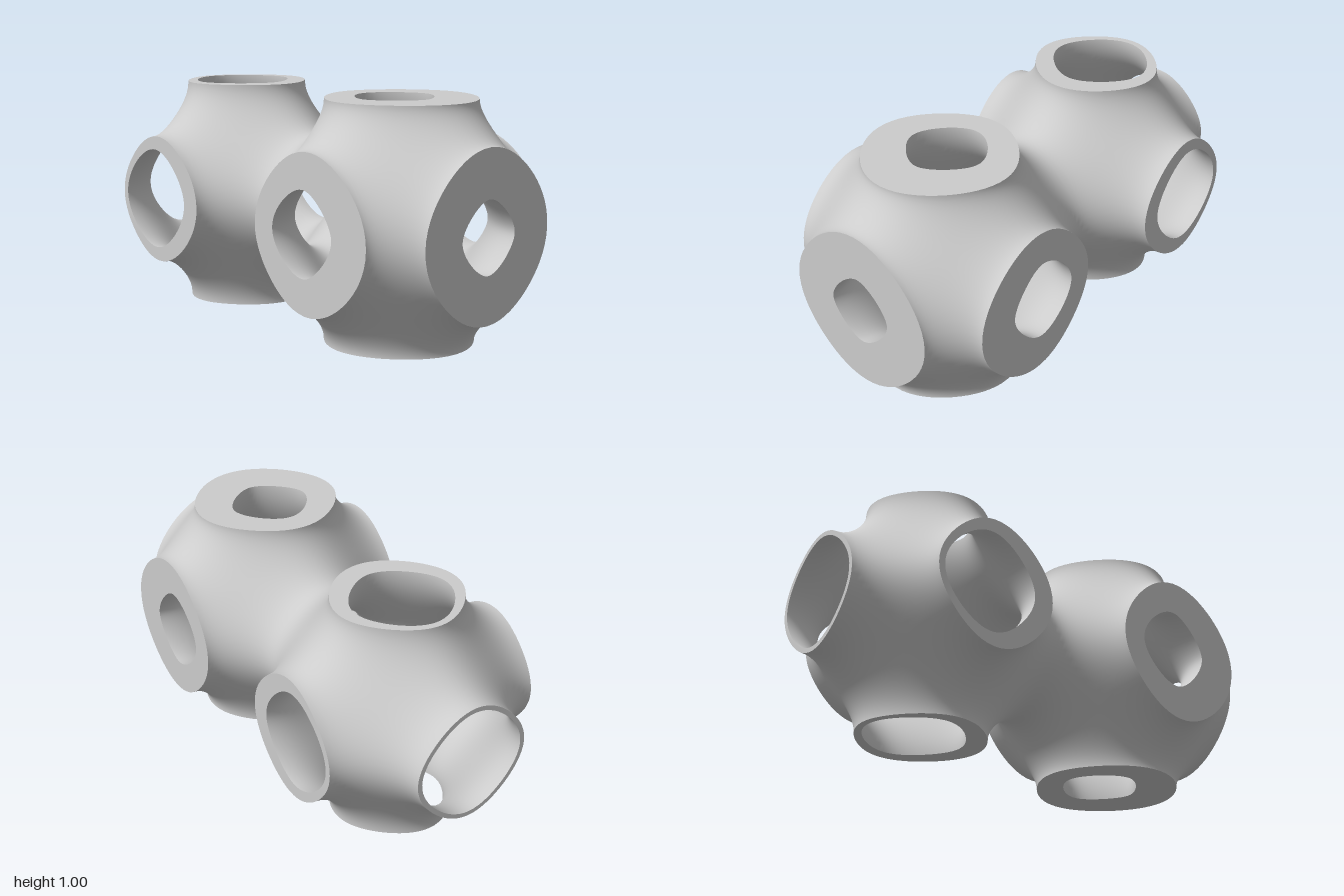
import * as THREE from 'three';
import { mergeGeometries } from 'three/addons/utils/BufferGeometryUtils.js';

const AROUND = 64; // steps round each opening (multiple of 8, so cube corners are hit)
const ACROSS = 14; // steps from an opening to the cube edge
const TAU = Math.PI * 2;

// Periodic minimal surface field round a cell centre, positive inside
const field = (p) => Math.cos(TAU * p.x) + Math.cos(TAU * p.y) + Math.cos(TAU * p.z);

// Unit normal of the middle surface, pointing away from the cell centre
const midNormal = (p) => new THREE.Vector3(
  Math.sin(TAU * p.x), Math.sin(TAU * p.y), Math.sin(TAU * p.z)).normalize();

// Half thickness and its slope along x, easing from one end of a cell to the other
function wall(x, [start, end]) {
  const t = x + 0.5;
  return {
    half: start + (end - start) * t * t * t * (t * (6 * t - 15) + 10),
    slope: (end - start) * 30 * t * t * (1 - t) * (1 - t),
  };
}

// Root of a function that falls from positive to negative
function bisect(fn, lo, hi) {
  for (let i = 0; i < 40; i++) {
    const mid = (lo + hi) / 2;
    if (fn(mid) > 0) lo = mid; else hi = mid;
  }
  return (lo + hi) / 2;
}

// Grid geometry from a rule giving a point and its normal
function grid(rows, rule, flip) {
  const pos = [], nor = [], index = [];
  for (let i = 0; i <= AROUND; i++) {
    for (let j = 0; j <= rows; j++) {
      const { point, normal } = rule((i % AROUND) / AROUND * TAU, j / rows);
      pos.push(...point.toArray());
      nor.push(...normal.toArray());
      if (i === AROUND || j === rows) continue;
      const a = i * (rows + 1) + j, b = a + 1, d = a + rows + 1, c = d + 1;
      if (flip) index.push(a, c, b, a, d, c);
      else index.push(a, b, c, a, c, d);
    }
  }
  const g = new THREE.BufferGeometry();
  g.setAttribute('position', new THREE.Float32BufferAttribute(pos, 3));
  g.setAttribute('normal', new THREE.Float32BufferAttribute(nor, 3));
  g.setIndex(index);
  return g;
}

// Middle surface point moved along its normal: side 1 is the outer skin, -1 the inner
function offset(p, side, range) {
  const { half, slope } = wall(p.x, range);
  const n = midNormal(p);
  const point = p.clone().addScaledVector(n, side * half);
  // Tilt the normal for the changing thickness
  const along = new THREE.Vector3(1, 0, 0).addScaledVector(n, -n.x);
  const normal = n.multiplyScalar(side).addScaledVector(along, -slope).normalize();
  return { point, normal };
}

// One cubic cell: an outer skin, an inner skin and the flat rims of its openings
function createCell(cx, range, name, material) {
  const outer = [], inner = [], rims = [];
  for (let k = 0; k < 3; k++) for (const s of [-1, 1]) {
    const axis = (m) => new THREE.Vector3().setComponent(m % 3, 1);
    const n = axis(k).multiplyScalar(s);
    const a = axis(s > 0 ? k + 1 : k + 2), b = axis(s > 0 ? k + 2 : k + 1);

    // Point on the ray through a cube face at polar position (theta, rho)
    const ray = (theta, rho, r) => n.clone()
      .addScaledVector(a, rho * Math.cos(theta))
      .addScaledVector(b, rho * Math.sin(theta)).multiplyScalar(r);
    const edge = (theta) => 1 / Math.max(Math.abs(Math.cos(theta)), Math.abs(Math.sin(theta)));
    const rimRadius = (theta) => bisect((rho) => field(ray(theta, rho, 0.5)), 0, edge(theta));

    // Curved skin from the opening's rim to the cube face's edge
    const skin = (side) => grid(ACROSS, (theta, v) => {
      const rho = THREE.MathUtils.lerp(rimRadius(theta), edge(theta), v);
      const r = v === 0 ? 0.5 : bisect((q) => field(ray(theta, rho, q)), 0, 0.5);
      return offset(ray(theta, rho, r), side, range);
    }, side < 0);
    outer.push(skin(1));
    inner.push(skin(-1));

    // Flat rim, left out where the two cells join
    if (k === 0 && s * cx < 0) continue;
    rims.push(grid(1, (theta, v) => {
      const p = ray(theta, rimRadius(theta), 0.5);
      return { point: offset(p, 2 * v - 1, range).point, normal: n };
    }, false));
  }

  const cell = new THREE.Group();
  cell.name = name;
  for (const [part, list] of [['outerSkin', outer], ['innerSkin', inner], ['openingRims', rims]]) {
    const mesh = new THREE.Mesh(mergeGeometries(list), material);
    mesh.name = part;
    cell.add(mesh);
  }
  cell.position.set(cx, 0.5, 0);
  return cell;
}

export function createModel() {
  const grey = new THREE.MeshStandardMaterial({ color: 0xcccccc });
  grey.name = 'light grey';
  const model = new THREE.Group();
  model.name = 'gradedLattice';
  model.add(
    createCell(-0.5, [0.01, 0.05], 'thinCell', grey),
    createCell(0.5, [0.05, 0.1], 'thickCell', grey));
  return model;
}
